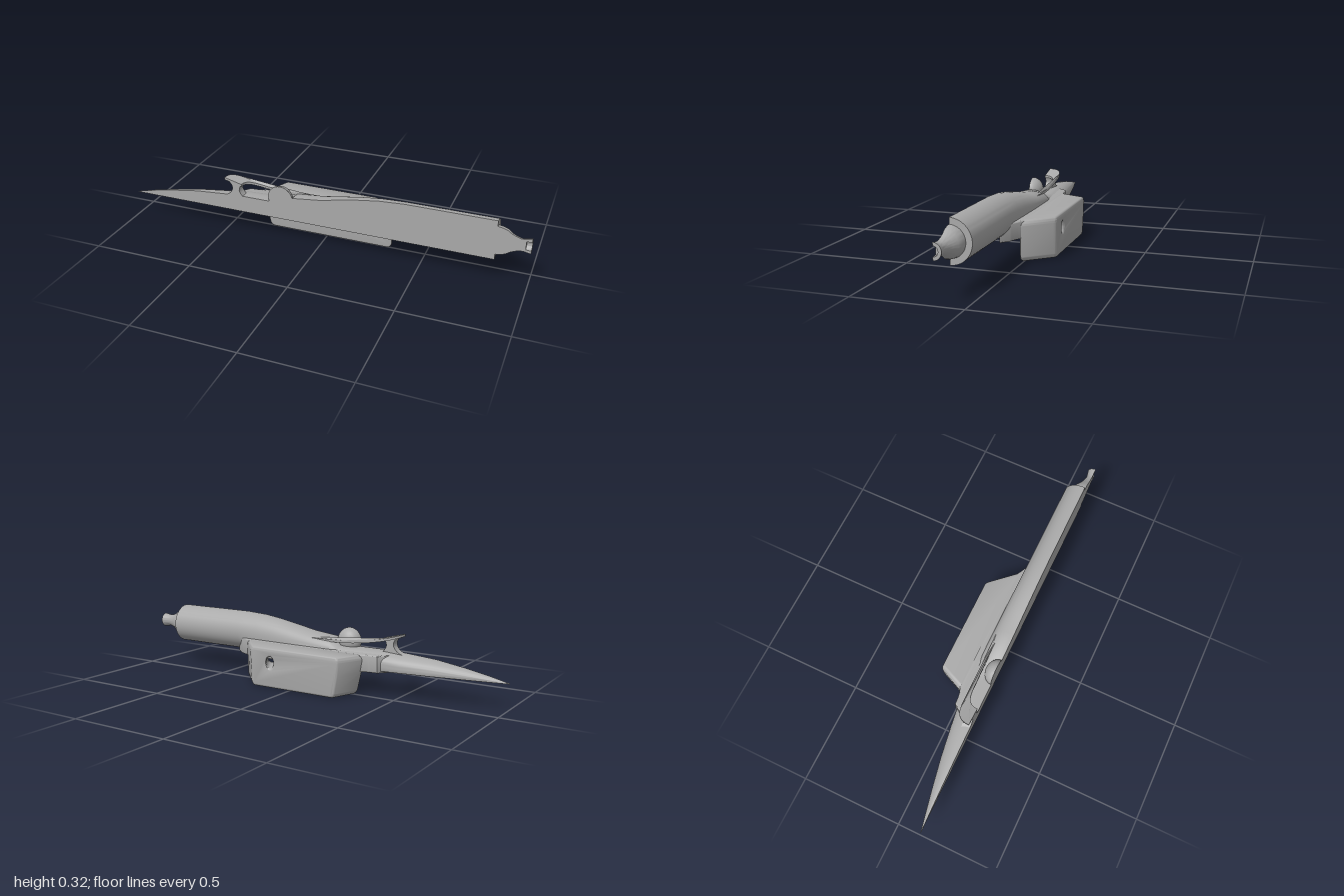
import * as THREE from 'three';
import { toCreasedNormals } from 'three/addons/utils/BufferGeometryUtils.js';

const CUT = 0.127;    // flat centre plane of the half hull
const AXIS = 0.2185;  // height of the rear tube axis
const BOTTOM = 0.12;

// x, top height, half width, height of widest line, lower and upper squareness
const SECTIONS = [
  [-1, 0.123, 0.001, 0.1205, 16, 2],
  [-0.9, 0.146, 0.022, 0.125, 16, 2],
  [-0.8, 0.165, 0.042, 0.13, 16, 2],
  [-0.65, 0.188, 0.07, 0.135, 16, 2.1],
  [-0.5, 0.2, 0.092, 0.14, 16, 2.3],
  [-0.4, 0.205, 0.104, 0.145, 16, 3],
  [-0.26, 0.205, 0.106, 0.15, 16, 3.5],
  [-0.17, 0.21, 0.106, 0.155, 16, 3.5],
  [-0.13, 0.243, 0.106, 0.16, 16, 3],
  [0, 0.258, 0.105, 0.17, 14, 2.8],
  [0.1, 0.277, 0.104, 0.182, 10, 2.6],
  [0.2, 0.296, 0.102, 0.195, 6, 2.4],
  [0.3, 0.31, 0.1, 0.207, 3.5, 2.2],
  [0.42, 0.317, 0.0985, AXIS, 2, 2],
  [0.845, 0.317, 0.0985, AXIS, 2, 2],
];

function hullGeometry() {
  const pos = [], idx = [], n = 29;
  for (const [x, top, w, mid, low, high] of SECTIONS) {
    for (let j = 0; j < n; j++) {
      const a = -Math.PI / 2 + (Math.PI * j) / (n - 1);
      const e = 2 / (a < 0 ? low : high);
      const c = j === 0 || j === n - 1 ? 0 : Math.cos(a) ** e;
      const s = Math.abs(Math.sin(a)) ** e;
      pos.push(x, a < 0 ? mid - (mid - BOTTOM) * s : mid + (top - mid) * s, CUT - w * c);
    }
  }
  for (let i = 0; i < SECTIONS.length - 1; i++) {
    for (let j = 0; j < n; j++) {
      const k = (j + 1) % n, a = i * n, b = a + n;
      idx.push(a + j, a + k, b + j, a + k, b + k, b + j);
    }
  }
  const last = (SECTIONS.length - 1) * n;
  for (let j = 1; j < n - 1; j++) idx.push(last, last + j, last + j + 1);
  const g = new THREE.BufferGeometry();
  g.setAttribute('position', new THREE.Float32BufferAttribute(pos, 3));
  g.setIndex(idx);
  return g;
}

const points = (list) => list.map(([x, y]) => new THREE.Vector2(x, y));

// Moves each vertex by a rule
function warp(g, rule) {
  const p = g.attributes.position, v = new THREE.Vector3();
  for (let i = 0; i < p.count; i++) {
    rule(v.fromBufferAttribute(p, i));
    p.setXYZ(i, v.x, v.y, v.z);
  }
  return g;
}

// Extrudes a plan drawn in x and z downward from the given height
function planSlab(shape, top, depth, bevel = 0) {
  const g = new THREE.ExtrudeGeometry(shape, {
    depth: depth - 2 * bevel, bevelEnabled: bevel > 0, bevelSize: bevel,
    bevelThickness: bevel, bevelOffset: -bevel, bevelSegments: 3, curveSegments: 10,
  });
  return g.rotateX(Math.PI / 2).translate(0, top - bevel, 0);
}

export function createModel() {
  const model = new THREE.Group();
  const grey = new THREE.MeshStandardMaterial({ color: 0xaaaaaa });
  grey.name = 'hull grey';
  const add = (name, geometry, parent = model) => {
    const mesh = new THREE.Mesh(toCreasedNormals(geometry, 0.6), grey);
    mesh.name = name;
    parent.add(mesh);
    return mesh;
  };

  add('hull', hullGeometry());

  // Tail nozzle: half lathe about the tube axis, closed on the cut plane
  const nozzle = new THREE.Group();
  nozzle.name = 'tailNozzle';
  model.add(nozzle);
  const profile = [[0.071, 0.84], [0.07, 0.85], [0.067, 0.87], [0.06, 0.89], [0.046, 0.91],
    [0.037, 0.93], [0.031, 0.95], [0.03, 0.965], [0.034, 0.985], [0.037, 1],
    [0.022, 1], [0.02, 0.975], [0, 0.975]];
  const lathe = new THREE.LatheGeometry(points(profile), 28, Math.PI / 2, Math.PI);
  add('nozzleBody', lathe.rotateZ(-Math.PI / 2).translate(0, AXIS, CUT), nozzle);
  const outline = [...profile.map(([r, x]) => [x, AXIS + r]),
    ...profile.slice(0, -1).reverse().map(([r, x]) => [x, AXIS - r])];
  add('nozzleCutFace', new THREE.ShapeGeometry(new THREE.Shape(points(outline)))
    .translate(0, 0, CUT), nozzle);

  // Side pod: rounded block, tapered outward, with a round through hole
  const pod = new THREE.Shape();
  pod.moveTo(-0.28, 0.012);
  pod.lineTo(0.31, 0.012);
  pod.quadraticCurveTo(0.328, 0.012, 0.33, 0.03);
  pod.lineTo(0.335, 0.165);
  pod.quadraticCurveTo(0.335, 0.183, 0.32, 0.183);
  pod.lineTo(-0.31, 0.183);
  pod.quadraticCurveTo(-0.325, 0.183, -0.325, 0.165);
  pod.lineTo(-0.318, 0.11);
  pod.lineTo(-0.3, 0.03);
  pod.quadraticCurveTo(-0.296, 0.012, -0.28, 0.012);
  const hole = new THREE.Path();
  hole.absarc(0.19, 0.125, 0.04, 0, Math.PI * 2, true);
  pod.holes.push(hole);
  const podGeo = new THREE.ExtrudeGeometry(pod, {
    depth: 0.113, bevelSize: 0.012, bevelThickness: 0.012, bevelSegments: 4, curveSegments: 14,
  }).translate(0, 0, -0.113);
  add('sidePod', warp(podGeo, (v) => {
    const t = (0.012 - v.z) / 0.137;
    v.x = v.x * (1 - 0.28 * t) - 0.03 * t;
  }));

  // Fairing joining the pod to the hull
  const fairing = new THREE.Shape();
  fairing.moveTo(-0.47, 0.09);
  fairing.lineTo(-0.405, 0.012);
  fairing.quadraticCurveTo(-0.35, 0.012, -0.32, -0.005);
  fairing.lineTo(0.32, -0.005);
  fairing.quadraticCurveTo(0.35, 0.012, 0.4, 0.035);
  fairing.lineTo(0.44, 0.07);
  fairing.lineTo(0.3, 0.09);
  // Leave the fairing open where the pod hole passes through
  const port = [[0.13, 0.011], [0.13, -0.001], [0.225, -0.001], [0.225, 0.011]];
  fairing.holes.push(new THREE.Path(points(port)));
  add('podFairing', planSlab(fairing, 0.195, 0.083, 0.006));

  // Cockpit: sloping rim, centre strut and rounded headrest
  const cockpit = new THREE.Group();
  cockpit.name = 'cockpit';
  model.add(cockpit);
  const rim = new THREE.Shape();
  rim.moveTo(-0.49, CUT);
  rim.bezierCurveTo(-0.49, 0.07, -0.46, 0.056, -0.4, 0.052);
  for (let i = 1; i <= 8; i++) rim.lineTo(-0.4 + i * 0.05, 0.052 - i * 0.001);
  rim.lineTo(0, 0.06);
  for (let i = 0; i <= 4; i++) rim.lineTo(-0.13 - i * 0.05, 0.06 + i * 0.002);
  rim.bezierCurveTo(-0.38, 0.072, -0.4, 0.09, -0.4, CUT);
  add('cockpitRim', warp(planSlab(rim, 0, 0.012), (v) => {
    const t = Math.min(1, (v.x + 0.49) / 0.36);
    v.y += 0.291 - 0.052 * (2 * t - t * t) - 0.2 * Math.max(0, v.x + 0.13) ** 2;
  }), cockpit);

  const strut = new THREE.Shape();
  strut.moveTo(-0.5, 0.195);
  strut.lineTo(-0.385, 0.195);
  strut.quadraticCurveTo(-0.41, 0.215, -0.413, 0.235);
  strut.quadraticCurveTo(-0.41, 0.255, -0.4, 0.266);
  strut.lineTo(-0.475, 0.28);
  strut.quadraticCurveTo(-0.445, 0.26, -0.45, 0.235);
  strut.quadraticCurveTo(-0.46, 0.205, -0.5, 0.195);
  add('rimStrut', new THREE.ExtrudeGeometry(strut, { depth: 0.04, bevelEnabled: false })
    .translate(0, 0, CUT - 0.04), cockpit);

  const headrest = new THREE.SphereGeometry(0.063, 20, 20, Math.PI, Math.PI);
  add('headrest', headrest.scale(1, 1, 0.85).translate(-0.195, 0.23, CUT), cockpit);
  add('headrestCutFace', new THREE.CircleGeometry(0.063, 36)
    .translate(-0.195, 0.23, CUT + 0.0003), cockpit);

  return model;
}
